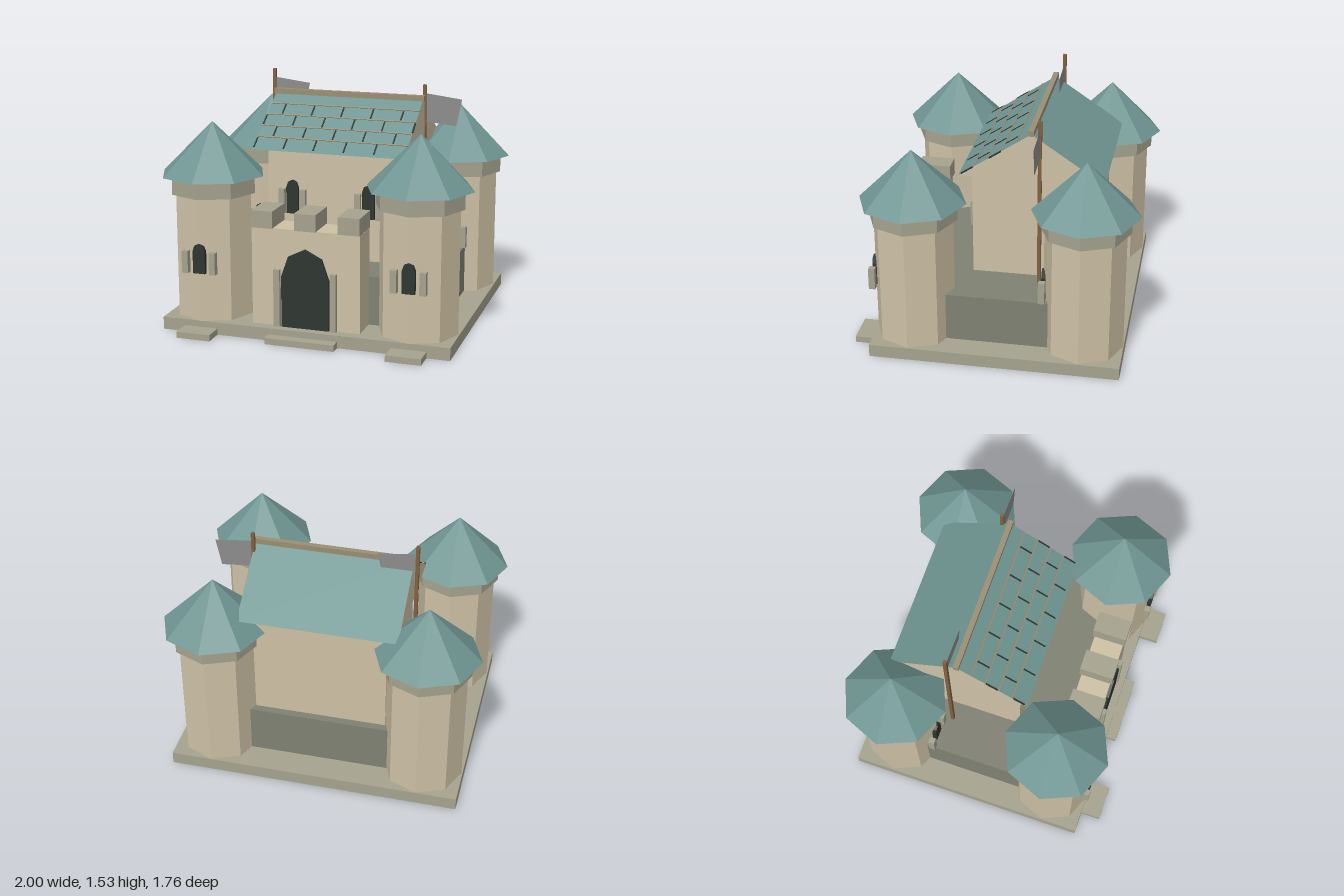
import * as THREE from 'three';

const paint = (color) => new THREE.MeshStandardMaterial({ color, flatShading: true });
const stone = paint(0xcdc0a5);
const trim = paint(0xa5a28e);
const courtyard = paint(0x7f8172);
const slate = paint(0x6f9592);
const dark = paint(0x2e352f);
const wood = paint(0x80603f);
const batten = paint(0x9a8e74);
const cloth = new THREE.MeshStandardMaterial({ color: 0x8c8c8c, side: THREE.DoubleSide });

function add(parent, name, geometry, material, x = 0, y = 0, z = 0) {
  const mesh = new THREE.Mesh(geometry, material);
  mesh.name = name;
  mesh.position.set(x, y, z);
  parent.add(mesh);
  return mesh;
}

// Box given by its extents on each axis
function block(parent, name, material, [x0, x1], [y0, y1], [z0, z1]) {
  return add(parent, name, new THREE.BoxGeometry(x1 - x0, y1 - y0, z1 - z0), material,
    (x0 + x1) / 2, (y0 + y1) / 2, (z0 + z1) / 2);
}

// Upright drum with a corner facing the front
function drum(parent, name, material, r0, r1, y0, y1) {
  return add(parent, name, new THREE.CylinderGeometry(r1, r0, y1 - y0, 8), material, 0, (y0 + y1) / 2, 0);
}

// Dark arched opening with a stone jamb on each side, centred on z = 0
function archway(name, halfWidth, height, jambX, jambWidth, jambHeight) {
  const group = new THREE.Group();
  group.name = name;
  const shape = new THREE.Shape();
  shape.moveTo(-halfWidth, 0);
  shape.lineTo(halfWidth, 0);
  for (let i = 0; i <= 4; i++) {
    const a = (i / 4) * Math.PI;
    shape.lineTo(halfWidth * Math.cos(a), height - halfWidth * (1.2 - 1.2 * Math.sin(a)));
  }
  const geometry = new THREE.ExtrudeGeometry(shape, { depth: 0.03, bevelEnabled: false });
  add(group, 'opening', geometry, dark, 0, 0, -0.02);
  for (const s of [-1, 1]) {
    add(group, 'jamb', new THREE.BoxGeometry(jambWidth, jambHeight, 0.04), trim, s * jambX, jambHeight / 2, 0);
  }
  return group;
}

function tower(x, z) {
  const group = new THREE.Group();
  group.name = 'tower';
  drum(group, 'towerWall', stone, 0.25, 0.25, 0.08, 0.87);
  drum(group, 'towerCollar', trim, 0.276, 0.276, 0.865, 0.978);
  const roof = new THREE.ConeGeometry(0.333, 0.33, 8);
  add(group, 'towerRoof', roof, slate, 0, 0.975 + 0.165, 0);
  const opening = archway('towerWindow', 0.04, 0.19, 0.09, 0.04, 0.14);
  opening.position.set(0, 0.392, 0.25);
  group.add(opening);
  group.position.set(x, 0, z);
  return group;
}

// Gabled roof with stone ends, slate courses on the front slope and a ridge beam
function keepRoof() {
  const group = new THREE.Group();
  group.name = 'keepRoof';
  const rise = 0.3, run = 0.45, ridgeY = 1.385, ridgeZ = -0.19;
  const gable = new THREE.Shape([
    new THREE.Vector2(-run, 0), new THREE.Vector2(run, 0), new THREE.Vector2(0, rise),
  ]);
  const geometry = new THREE.ExtrudeGeometry(gable, { depth: 1, bevelEnabled: false });
  geometry.translate(0, 0, -0.5).rotateY(Math.PI / 2);
  add(group, 'gableRoof', geometry, [stone, slate], 0, ridgeY - rise, ridgeZ);
  block(group, 'ridgeBeam', batten, [-0.51, 0.51], [1.375, 1.41], [-0.207, -0.173]);

  const slope = new THREE.Group();
  slope.name = 'slateCourses';
  slope.position.set(0, ridgeY, ridgeZ);
  slope.rotation.x = Math.atan2(rise, run);
  const down = (z) => (z - ridgeZ) * Math.hypot(rise, run) / run;
  for (let row = 0; row < 4; row++) {
    const z = -0.1 + row * 0.087;
    add(slope, 'courseLine', new THREE.BoxGeometry(1, 0.008, 0.01), batten, 0, 0, down(z));
    const count = row % 2 ? 6 : 5;
    for (let i = 0; i < count; i++) {
      const x = (i - (count - 1) / 2) * 0.199;
      add(slope, 'slateJoint', new THREE.BoxGeometry(0.009, 0.008, 0.088), dark, x, 0, down(z + 0.045));
    }
  }
  group.add(slope);
  return group;
}

function flagpole(x, top) {
  const group = new THREE.Group();
  group.name = 'flagpole';
  block(group, 'pole', wood, [-0.011, 0.011], [0.39, top], [-0.011, 0.011]);
  const shape = new THREE.Shape([
    new THREE.Vector2(0, 0), new THREE.Vector2(0, -0.185),
    new THREE.Vector2(0.21, -0.205), new THREE.Vector2(0.245, -0.03),
  ]);
  add(group, 'flag', new THREE.ShapeGeometry(shape), cloth, 0, top - 0.055, 0);
  group.position.set(x, 0, -0.243);
  return group;
}

export function createModel() {
  const castle = new THREE.Group();
  castle.name = 'castle';

  // Plinth and front steps
  block(castle, 'plinth', trim, [-0.925, 0.925], [0, 0.08], [-0.803, 0.752]);
  block(castle, 'gateStep', trim, [-0.222, 0.222], [0, 0.04], [0.7, 0.82]);
  for (const s of [-1, 1]) {
    add(castle, 'towerStep', new THREE.BoxGeometry(0.22, 0.04, 0.18), trim, s * 0.67, 0.02, 0.79);
  }

  // Low curtain block and the keep rising out of it
  block(castle, 'curtainBlock', courtyard, [-0.762, 0.762], [0.08, 0.39], [-0.62, 0.5]);
  block(castle, 'keepWall', stone, [-0.42, 0.42], [0.38, 1.09], [-0.57, 0.19]);
  castle.add(keepRoof());
  for (const s of [-1, 1]) {
    const opening = archway('keepWindow', 0.04, 0.22, 0.07, 0.04, 0.16);
    opening.position.set(s * 0.253, 0.67, 0.2);
    castle.add(opening);
  }

  // Gatehouse with merlons and door
  block(castle, 'gatehouse', stone, [-0.347, 0.347], [0.08, 0.7], [0.49, 0.685]);
  for (const x of [-0.278, 0, 0.278]) {
    add(castle, 'merlon', new THREE.BoxGeometry(0.137, 0.108, 0.22), trim, x, 0.752, 0.585);
  }
  const door = archway('gate', 0.153, 0.505, 0.181, 0.04, 0.365);
  door.position.set(0, 0.08, 0.69);
  castle.add(door);

  // Corner towers
  for (const x of [-0.667, 0.667]) {
    for (const z of [-0.55, 0.508]) castle.add(tower(x, z));
  }

  // Flags beside the keep
  castle.add(flagpole(-0.53, 1.53), flagpole(0.498, 1.473));
  return castle;
}
